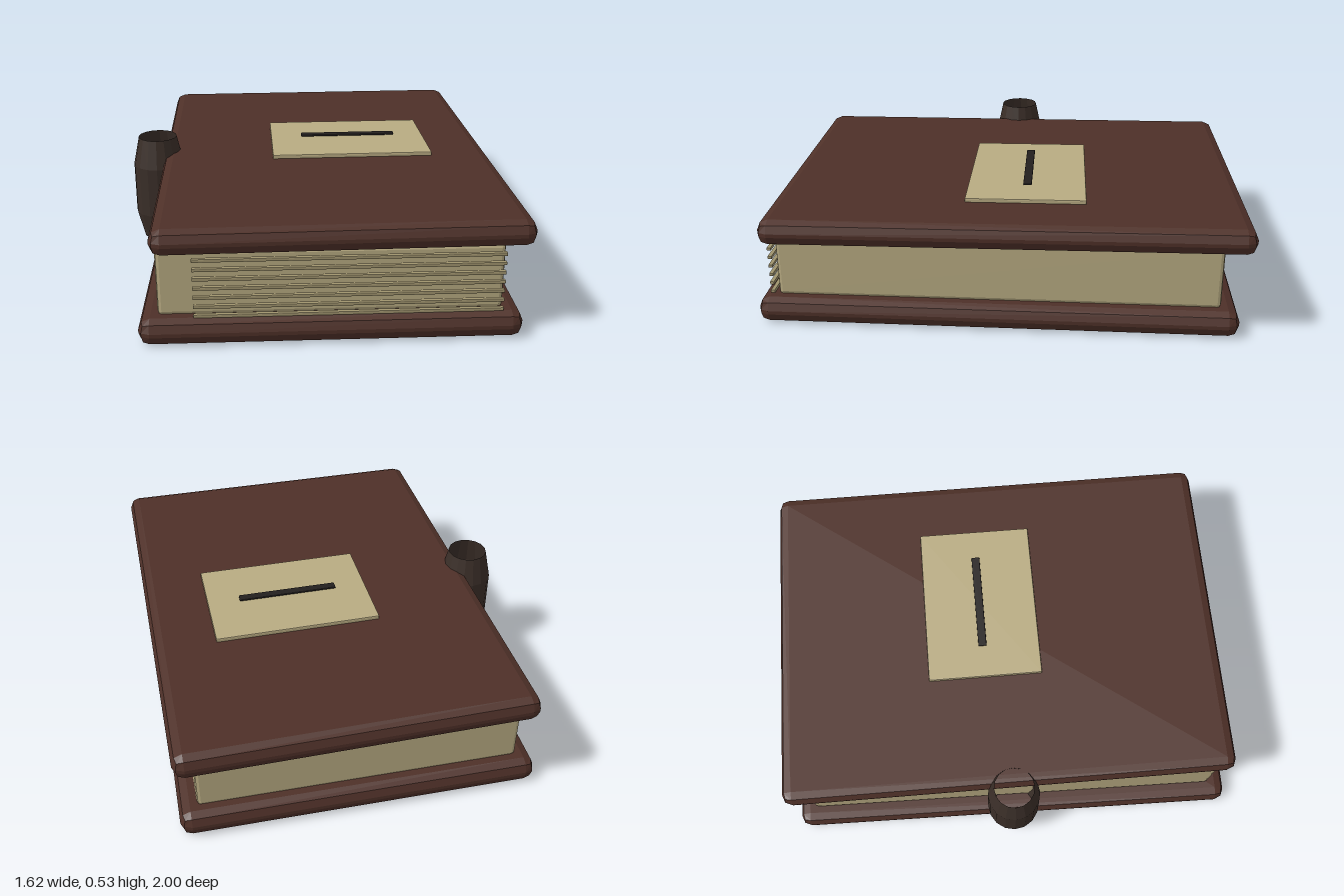
import * as THREE from 'three';
import { RoundedBoxGeometry } from 'three/addons/geometries/RoundedBoxGeometry.js';

const material = (color, extra = {}) =>
  new THREE.MeshStandardMaterial({ color, flatShading: true, ...extra });

export function createModel() {
  const book = new THREE.Group();
  book.name = 'book';

  const leather = material(0x4e3028);
  const paper = material(0xb8ab82);
  const pageEdge = material(0xa0946e);
  const ink = material(0x231f1e);
  const strap = material(0x3a2e28, { side: THREE.DoubleSide });

  // Box with a two-step bevel on every edge
  const block = (name, mat, [w, h, d], [x, y, z], bevel, turn = 0) => {
    const mesh = new THREE.Mesh(new RoundedBoxGeometry(w, h, d, 1, bevel), mat);
    mesh.name = name;
    mesh.position.set(x, y, z);
    mesh.rotation.y = turn;
    book.add(mesh);
    return mesh;
  };

  // Covers: the upper one sits slightly askew
  const askew = 0.0175;
  block('bottomCover', leather, [1.478, 0.105, 1.957], [0.03, 0.0525, 0.02], 0.045);
  block('topCover', leather, [1.462, 0.105, 1.963], [0.061, 0.415, -0.007], 0.045, askew);

  // Page block
  block('pageBlock', paper, [1.332, 0.27, 1.81], [0.029, 0.235, 0.018], 0.016);

  // Loose page edges along the front
  for (let i = 0; i < 7; i++) {
    block('pageEdge' + (i + 1), pageEdge, [1.19, 0.014, 0.018],
      [0.097, 0.111 + i * 0.0385, 0.95], 0.003);
  }

  // Title plate and the dark stroke above it
  block('titlePlate', paper, [0.71, 0.02, 0.5], [0.172, 0.475, -0.08], 0.005, askew);
  block('titleStroke', ink, [0.432, 0.009, 0.036], [0.172, 0.497, -0.083], 0.003, askew);

  // Barrel-shaped open strap loop on the left edge
  const profile = [[0.083, 0.057], [0.113, 0.18], [0.113, 0.405], [0.085, 0.533]]
    .map(([r, y]) => new THREE.Vector2(r, y));
  const loop = new THREE.Mesh(new THREE.LatheGeometry(profile, 16), strap);
  loop.name = 'strapLoop';
  loop.position.set(-0.698, 0, 0.016);
  book.add(loop);

  return book;
}
